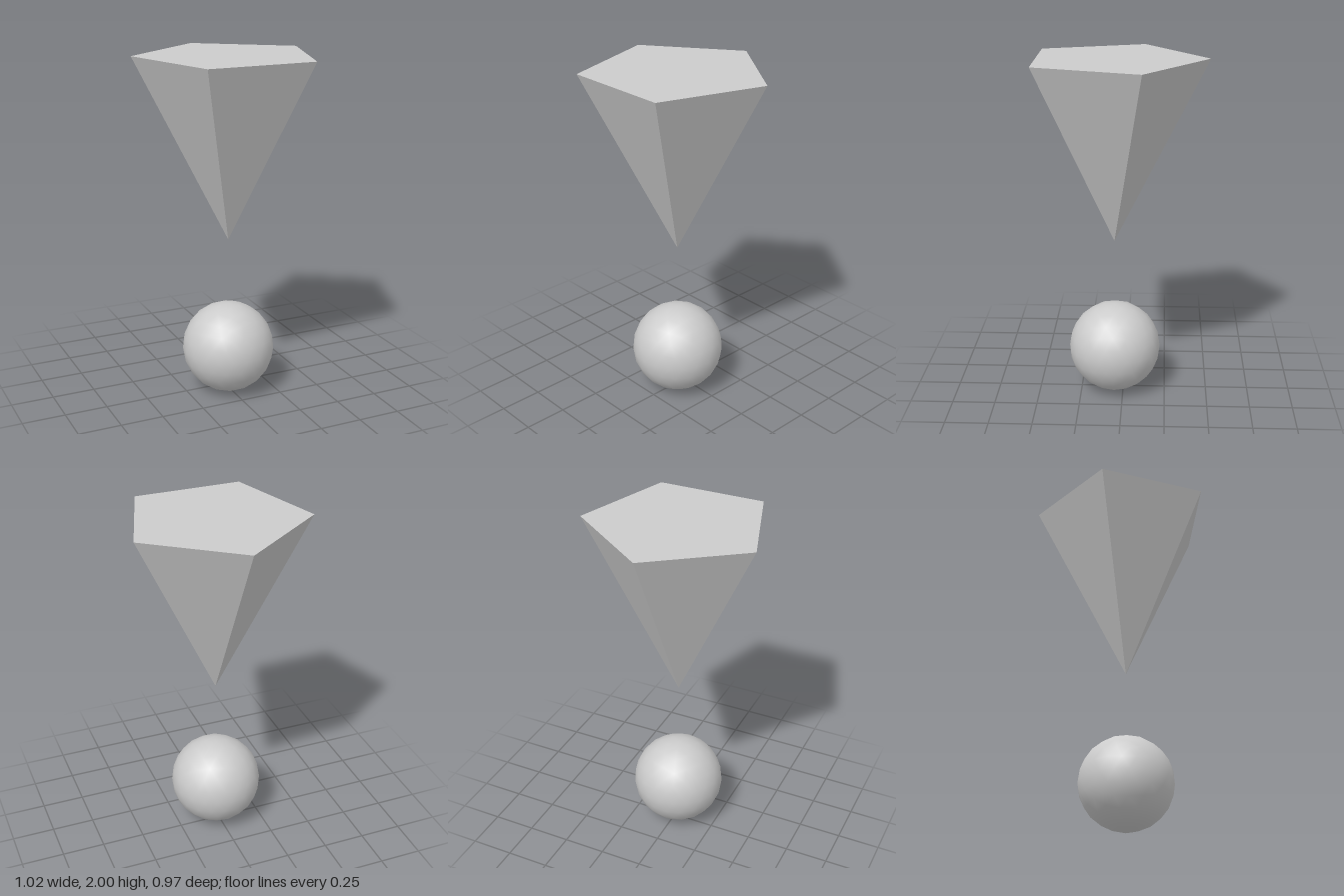
import * as THREE from 'three';

export function createModel() {
  const model = new THREE.Group();
  const centreZ = 0.051;

  function add(name, geometry, y, flatShading) {
    const material = new THREE.MeshStandardMaterial({ color: 0xcccccc, flatShading });
    const mesh = new THREE.Mesh(geometry, material);
    mesh.name = name;
    mesh.position.set(0, y, centreZ);
    model.add(mesh);
  }

  // Upside-down five-sided pyramid, one corner towards the back
  const height = 1.066;
  const pyramid = new THREE.ConeGeometry(0.535, height, 5).rotateX(Math.PI);
  add('upperPyramid', pyramid, 2 - height / 2, true);

  // Smooth icosphere standing on one of its twelve main corners
  const radius = 0.27;
  const ball = new THREE.IcosahedronGeometry(radius, 3)
    .rotateZ(Math.atan(2 / (1 + Math.sqrt(5))));
  add('lowerBall', ball, radius, false);

  return model;
}
